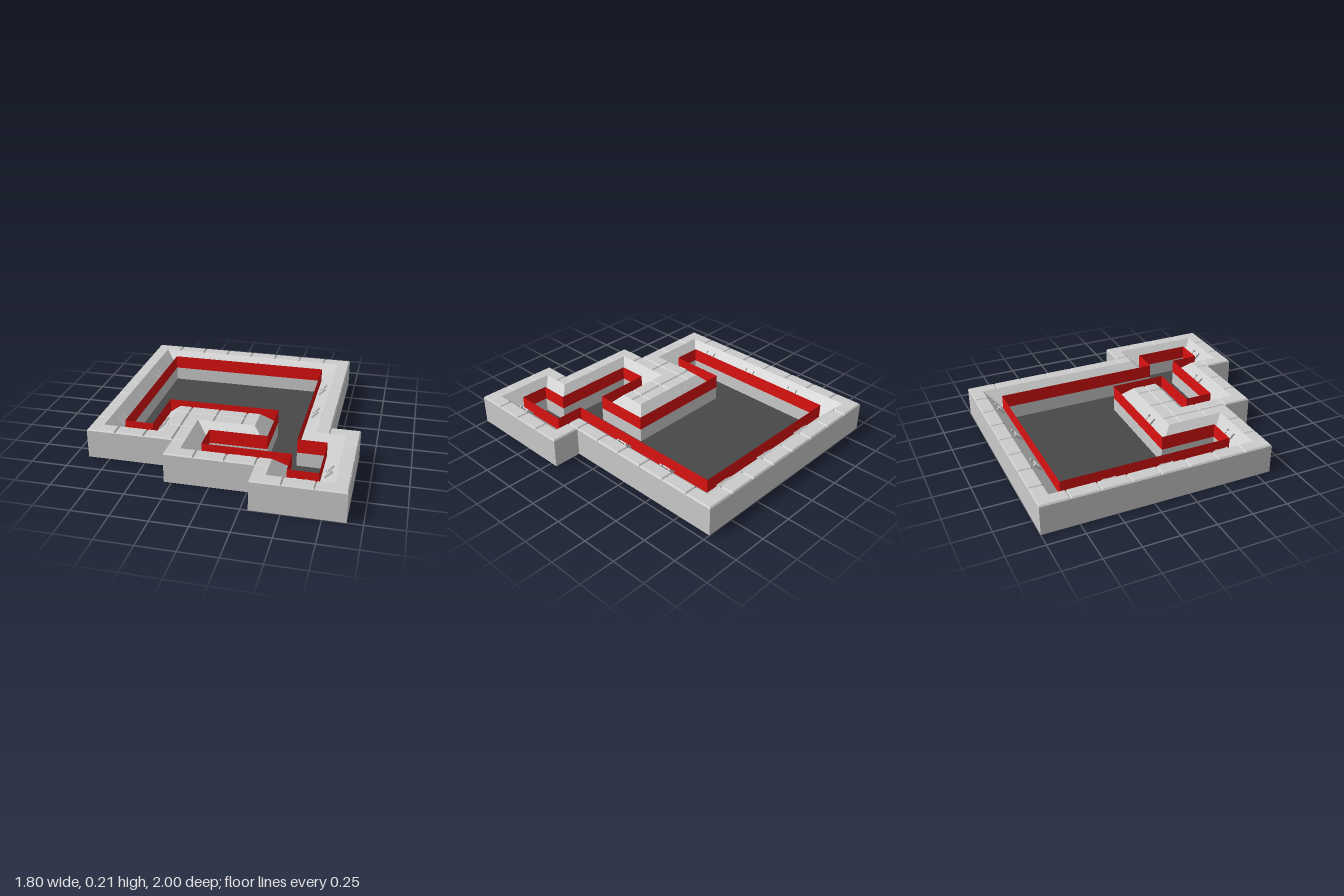
import * as THREE from 'three';
import { mergeGeometries } from 'three/addons/utils/BufferGeometryUtils.js';

const CELL = 0.2, RIM = 0.09, SLOPE = 0.11;
const TOP = 0.21, BASE = 0.2, LEDGE = 0.1;

// Plan outlines as [x, z]
const outer = [[-0.9, -1], [0.7, -1], [0.7, 0.2], [0.9, 0.2], [0.9, 1], [0.3, 1], [0.3, 0.8],
  [-0.3, 0.8], [-0.3, 0.6], [-0.9, 0.6]];
const pit = [[-0.7, -0.8], [0.5, -0.8], [0.5, 0.4], [0.7, 0.4], [0.7, 0.8], [0.5, 0.8], [0.5, 0.6],
  [-0.1, 0.6], [-0.1, 0.4], [0.3, 0.4], [0.3, 0], [-0.5, 0], [-0.5, 0.4], [-0.7, 0.4]];

// Widens a right-angled outline by d
function grow(loop, d) {
  const n = loop.length;
  const normal = (a, b) => [Math.sign(b[1] - a[1]), -Math.sign(b[0] - a[0])];
  return loop.map((p, i) => {
    const m = normal(loop[(i + n - 1) % n], p), k = normal(p, loop[(i + 1) % n]);
    return [p[0] + d * (m[0] + k[0]), p[1] + d * (m[1] + k[1])];
  });
}
const rim = grow(pit, SLOPE);

function inside(loop, x, z) {
  let hit = false;
  loop.forEach(([ax, az], i) => {
    const [bx, bz] = loop[(i + 1) % loop.length];
    if ((az > z) !== (bz > z) && x < ax + (bx - ax) * (z - az) / (bz - az)) hit = !hit;
  });
  return hit;
}

// Closed strip of flat quads between two outlines
function band(low, y0, high, y1) {
  const pos = [];
  low.forEach((a, i) => {
    const j = (i + 1) % low.length, b = low[j], c = high[j], d = high[i];
    const A = [a[0], y0, a[1]], B = [b[0], y0, b[1]], C = [c[0], y1, c[1]], D = [d[0], y1, d[1]];
    pos.push(...A, ...B, ...C, ...A, ...C, ...D);
  });
  const g = new THREE.BufferGeometry();
  g.setAttribute('position', new THREE.Float32BufferAttribute(pos, 3));
  g.computeVertexNormals();
  return g;
}

const toShape = loop => new THREE.Shape(loop.map(p => new THREE.Vector2(p[0], p[1])));

// Coping tile for one grid cell, bevelled only along the cell borders
function tile(x0, z0) {
  const solid = [], empty = [];
  for (const i of [0, 1]) for (const j of [0, 1]) {
    const x = x0 + 0.045 + i * 0.11, z = z0 + 0.045 + j * 0.11;
    (inside(outer, x, z) && !inside(rim, x, z) ? solid : empty).push([i, j]);
  }
  const n = solid.length;
  if (!n) return null;
  const corner = n === 3 ? [1 - empty[0][0], 1 - empty[0][1]] : solid[0];
  const w = n === 1 || (n === 2 && solid[0][0] === solid[1][0]) ? RIM : CELL;
  const h = n === 1 || (n === 2 && solid[0][1] === solid[1][1]) ? RIM : CELL;
  const local = n === 3
    ? [[0, 0], [CELL, 0], [CELL, RIM], [RIM, RIM], [RIM, CELL], [0, CELL]]
    : [[0, 0], [w, 0], [w, h], [0, h]];
  const pts = local.map(p => p.map((v, k) => (corner[k] ? CELL - v : v)));
  const g = new THREE.ExtrudeGeometry(toShape(pts), { depth: TOP - BASE, bevelEnabled: false });
  g.rotateX(Math.PI / 2);
  const p = g.attributes.position, b = 0.008;
  const inset = v => (v < 0.001 ? b : v > CELL - 0.001 ? CELL - b : v);
  for (let i = 0; i < p.count; i++) {
    if (p.getY(i) > -0.001) {
      p.setX(i, inset(p.getX(i)));
      p.setZ(i, inset(p.getZ(i)));
    }
  }
  g.computeVertexNormals();
  return g.translate(x0, TOP, z0);
}

// Grab handle: two end plates and a pair of rails
function handleGeometry() {
  const box = (w, h, d, x, y, z) => new THREE.BoxGeometry(w, h, d).translate(x, y, z);
  return mergeGeometries([
    box(0.012, 0.014, 0.064, -0.036, 0.007, 0), box(0.012, 0.014, 0.064, 0.036, 0.007, 0),
    box(0.06, 0.008, 0.01, 0, 0.01, -0.009), box(0.06, 0.008, 0.01, 0, 0.01, 0.009),
  ]);
}

export function createModel() {
  const model = new THREE.Group();
  const grey = new THREE.MeshStandardMaterial({ color: 0xcccccc });
  const dark = new THREE.MeshStandardMaterial({ color: 0x484848, side: THREE.DoubleSide });
  const red = new THREE.MeshStandardMaterial({ color: 0xdd1111, side: THREE.DoubleSide });
  const add = (name, geometry, material) => {
    const mesh = new THREE.Mesh(geometry, material);
    mesh.name = name;
    model.add(mesh);
    return mesh;
  };

  // Shell
  const outside = [...outer].reverse();
  add('outerWall', band(outside, 0, outside, BASE), grey);
  add('slopedWall', band(pit, LEDGE, rim, TOP), grey);
  add('lowerWall', band(pit, 0, pit, LEDGE), grey);
  const under = toShape(outer);
  under.holes.push(toShape(pit));
  add('underside', new THREE.ShapeGeometry(under).rotateX(Math.PI / 2), grey);
  add('floor', new THREE.ShapeGeometry(toShape(pit)).rotateX(Math.PI / 2), dark);

  // Upright red barrier around the floor
  add('barrier', band(pit, LEDGE, pit, BASE), red);

  // Coping tiles
  const tiles = [];
  for (let i = 0; i < 9; i++) for (let j = 0; j < 10; j++) {
    const g = tile(-0.9 + i * CELL, -1 + j * CELL);
    if (g) tiles.push(g);
  }
  add('copingTiles', mergeGeometries(tiles), grey);

  // Handles on the slopes: x, z, and the direction each one faces
  const handle = handleGeometry();
  const spots = [
    ...[-0.4, 0, 0.4].map(x => [x, -0.855, 0, 1]),
    ...[-0.5, -0.1, 0.3].map(z => [-0.755, z, 1, 0]),
    ...[-0.5, -0.1].map(z => [0.555, z, -1, 0]),
    [-0.2, 0.055, 0, -1], [-0.445, 0.3, -1, 0], [-0.6, 0.455, 0, -1],
    [0.2, 0.655, 0, -1], [0.755, 0.7, -1, 0], [0.6, 0.855, 0, -1],
  ];
  for (const [x, z, dx, dz] of spots) {
    const mesh = add('handle', handle, grey);
    mesh.position.set(x, (TOP + LEDGE) / 2, z);
    mesh.rotation.set(Math.PI / 4, Math.atan2(dx, dz), 0, 'YXZ');
  }
  return model;
}
